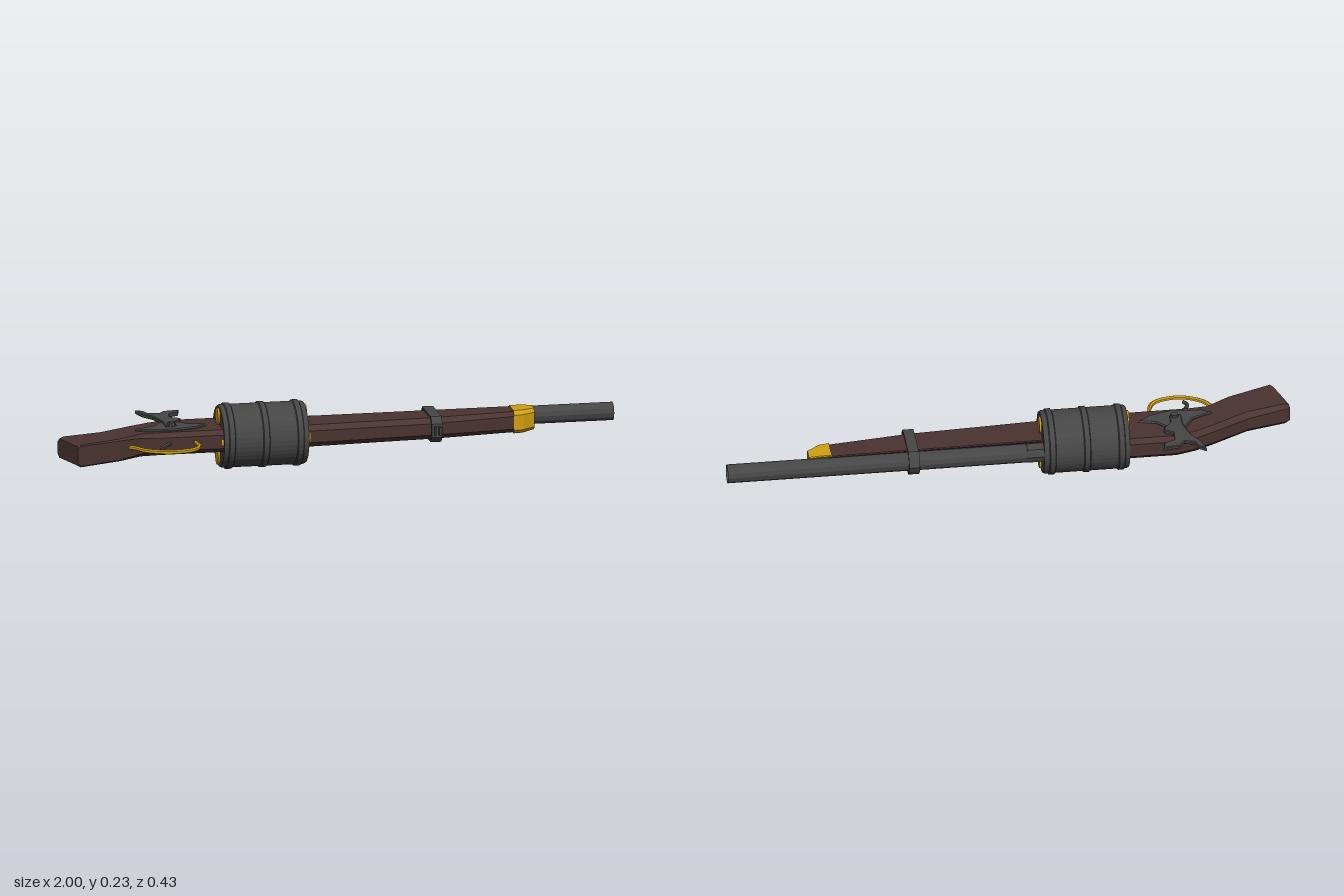
import * as THREE from 'three';

const mat = (color, side = THREE.FrontSide) =>
  new THREE.MeshStandardMaterial({ color, flatShading: true, side });
const wood = mat(0x4a3330), steel = mat(0x464646), brass = mat(0xd0a010);
const MID = 0.121; // mid-plane height of stock and barrel
const DRUM_Y = 0.1175, DRUM_Z = -0.013;

function add(parent, name, geo, material) {
  const m = new THREE.Mesh(geo, material);
  m.name = name;
  parent.add(m);
  return m;
}

// Loft along x. Station: [topX, topZ, bottomX, bottomZ, halfWidth, topChamfer, bottomChamfer, notch]
function loft(stations) {
  const pos = [], idx = [], n = 9;
  for (const [xt, zt, xb, zb, h, ct, cb, notch] of stations) {
    const len = Math.hypot(xb - xt, zb - zt);
    const section = [
      [0, notch], [h - ct, 0], [h, ct], [h, len - cb], [h - cb, len],
      [cb - h, len], [-h, len - cb], [-h, ct], [ct - h, 0],
    ];
    for (const [y, d] of section) {
      const t = d / len;
      pos.push(xt + (xb - xt) * t, MID + y, zt + (zb - zt) * t);
    }
  }
  const last = (stations.length - 1) * n;
  for (let s = 0; s < last; s += n) {
    for (let k = 0; k < n; k++) {
      const a = s + k, b = s + (k + 1) % n;
      idx.push(a, b, b + n, a, b + n, a + n);
    }
  }
  for (let k = 1; k < n - 1; k++) {
    idx.push(0, k + 1, k, last, last + k, last + k + 1);
  }
  const g = new THREE.BufferGeometry();
  g.setAttribute('position', new THREE.Float32BufferAttribute(pos, 3));
  g.setIndex(idx);
  g.computeVertexNormals();
  return g;
}

// Flat plate with an x/z outline, from height y0 to y1
function plate(points, y0, y1, bevel) {
  const shape = new THREE.Shape(points.map(([x, z]) => new THREE.Vector2(x, -z)));
  return new THREE.ExtrudeGeometry(shape, {
    depth: y1 - y0 - bevel, bevelEnabled: true, bevelThickness: bevel,
    bevelSize: bevel, bevelOffset: -bevel, bevelSegments: 1,
  }).rotateX(-Math.PI / 2).translate(0, y0, 0);
}

// Lathe whose axis is x; profile is [x, radius]
function turned(profile, sides, y, z) {
  return new THREE.LatheGeometry(profile.map(([x, r]) => new THREE.Vector2(r, x)), sides)
    .rotateZ(-Math.PI / 2).translate(0, y, z);
}

function rod(points, radius) {
  const curve = new THREE.CatmullRomCurve3(points.map(([x, z]) => new THREE.Vector3(x, 0.124, z)));
  return new THREE.TubeGeometry(curve, 24, radius, 6);
}

export function createModel() {
  const gun = new THREE.Group();
  gun.name = 'drumRifle';

  // Grip, butt and rear stock
  add(gun, 'rearStock', loft([
    [-1, 0.05, -0.955, 0.19, 0.034, 0.012, 0.006, 0],
    [-0.985, 0.043, -0.945, 0.192, 0.04, 0.014, 0.004, 0],
    [-0.85, 0.005, -0.79, 0.133, 0.04, 0.018, 0.006, 0],
    [-0.72, -0.065, -0.71, 0.088, 0.04, 0.018, 0.012, 0],
    [-0.65, -0.1, -0.64, 0.086, 0.04, 0.018, 0.016, 0],
    [-0.58, -0.118, -0.58, 0.086, 0.04, 0.016, 0.016, 0],
    [-0.4, -0.118, -0.4, 0.085, 0.04, 0.016, 0.016, 0],
  ]), wood);

  // Fore stock with a groove for the barrel, and its end cap
  add(gun, 'foreStock', loft([
    [-0.13, -0.072, -0.13, 0.077, 0.039, 0.003, 0.018, 0.022],
    [0.34, -0.075, 0.34, 0.053, 0.038, 0.003, 0.018, 0.025],
    [0.64, -0.078, 0.64, 0.015, 0.037, 0.003, 0.014, 0.027],
  ]), wood);
  add(gun, 'stockCap', loft([
    [0.63, -0.078, 0.63, 0.019, 0.041, 0.003, 0.014, 0.027],
    [0.665, -0.078, 0.665, 0.013, 0.041, 0.003, 0.014, 0.027],
    [0.71, -0.078, 0.71, -0.018, 0.038, 0.003, 0.012, 0.027],
  ]), brass);

  // Open barrel and breech collar
  add(gun, 'barrel', turned(
    [[-0.1, 0.029], [-0.1, 0.033], [1, 0.033], [1, 0.029], [-0.1, 0.029]].reverse(),
    12, MID, -0.084), mat(0x464646, THREE.DoubleSide));
  add(gun, 'breechCollar', turned(
    [[-0.115, 0.031], [-0.115, 0.036], [-0.055, 0.036], [-0.05, 0.031]],
    8, MID, -0.082), mat(0x464646, THREE.DoubleSide));

  // Drum with three raised bands
  const profile = [[-0.415, 0], [-0.415, 0.107], [-0.408, 0.111]];
  for (const x of [-0.387, -0.265, -0.143]) {
    profile.push([x - 0.012, 0.111], [x - 0.009, 0.116], [x + 0.009, 0.116], [x + 0.012, 0.111]);
  }
  profile.push([-0.12, 0.111], [-0.113, 0.107], [-0.113, 0]);
  add(gun, 'drum', turned(profile, 40, DRUM_Y, DRUM_Z), steel);

  // Four cartridges around the drum axis
  for (let i = 0; i < 4; i++) {
    const a = i * Math.PI / 2;
    const g = new THREE.CylinderGeometry(0.029, 0.029, 0.316, 20).rotateZ(Math.PI / 2);
    add(gun, 'cartridge', g, brass)
      .position.set(-0.264, DRUM_Y + 0.072 * Math.sin(a), DRUM_Z + 0.071 * Math.cos(a));
  }

  // Band clamping barrel to fore stock: outline in y/z, extruded along x
  const outline = (s) => [
    [0, -0.131 + s], [0.026, -0.118 + s], [0.046 - s, -0.098], [0.046 - s, 0.052],
    [0.024, 0.075 - s], [-0.024, 0.075 - s], [-0.046 + s, 0.052], [-0.046 + s, -0.098],
    [-0.026, -0.118 + s],
  ].map(([y, z]) => new THREE.Vector2(y, z));
  const bandShape = new THREE.Shape(outline(0));
  bandShape.holes.push(new THREE.Path(outline(0.009)));
  const bandGeo = new THREE.ExtrudeGeometry(bandShape, { depth: 0.038, bevelEnabled: false });
  bandGeo.applyMatrix4(new THREE.Matrix4().makeBasis(
    new THREE.Vector3(0, 1, 0), new THREE.Vector3(0, 0, 1), new THREE.Vector3(1, 0, 0)));
  add(gun, 'barrelBand', bandGeo, steel).position.set(0.326, MID, 0);
  for (const x of [0.338, 0.354]) {
    add(gun, 'bandLug', new THREE.BoxGeometry(0.007, 0.03, 0.022), steel).position.set(x, MID, 0.075);
  }

  // Lock plate, hammer and pivot screw on the upper side
  add(gun, 'lockPlate', plate([
    [-0.72, 0.027], [-0.65, -0.005], [-0.62, -0.053], [-0.56, -0.06], [-0.52, -0.016],
    [-0.46, 0], [-0.505, 0.037], [-0.585, 0.059], [-0.69, 0.048],
  ], 0.155, 0.168, 0.004), steel);
  add(gun, 'hammer', plate([
    [-0.672, -0.218], [-0.645, -0.2], [-0.635, -0.17], [-0.6, -0.16], [-0.58, -0.187],
    [-0.522, -0.196], [-0.53, -0.16], [-0.565, -0.145], [-0.57, -0.1], [-0.538, -0.078],
    [-0.545, -0.055], [-0.568, -0.03], [-0.57, 0.015], [-0.61, 0.02], [-0.61, -0.05],
    [-0.63, -0.12], [-0.66, -0.165],
  ], 0.162, 0.173, 0.003), steel);
  add(gun, 'hammerScrew', new THREE.CylinderGeometry(0.013, 0.016, 0.022, 10), steel)
    .position.set(-0.587, 0.171, 0.008);

  // Trigger and guard
  add(gun, 'triggerGuard', rod([
    [-0.77, 0.1], [-0.742, 0.12], [-0.705, 0.172], [-0.625, 0.206], [-0.54, 0.185],
    [-0.515, 0.14], [-0.516, 0.08],
  ], 0.0078), brass);
  add(gun, 'trigger', rod([
    [-0.605, 0.08], [-0.625, 0.11], [-0.645, 0.135], [-0.65, 0.155], [-0.64, 0.175],
  ], 0.007), steel);

  return gun;
}
